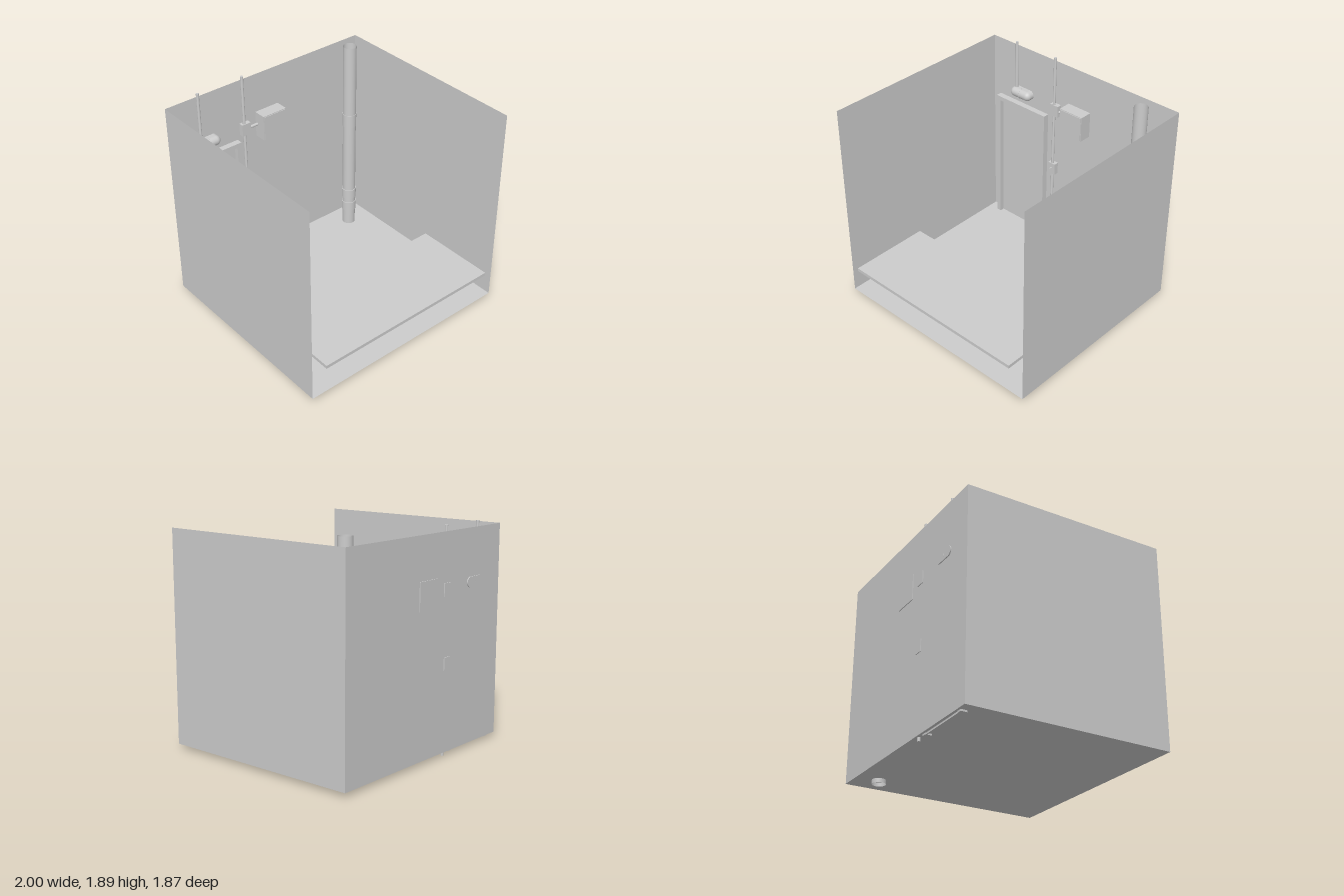
import * as THREE from 'three';

const grey = new THREE.MeshStandardMaterial({ color: 0xcccccc });
const thin = new THREE.MeshStandardMaterial({ color: 0xcccccc, side: THREE.DoubleSide });

export function createModel() {
  const root = new THREE.Group();
  root.name = 'serviceRoom';

  const add = (name, geometry, material = grey, parent = root) => {
    const mesh = new THREE.Mesh(geometry, material);
    mesh.name = name;
    parent.add(mesh);
    return mesh;
  };
  // Box given by its lower and upper bounds
  const box = (name, x0, x1, y0, y1, z0, z1, parent) => {
    const g = new THREE.BoxGeometry(x1 - x0, y1 - y0, z1 - z0);
    g.translate((x0 + x1) / 2, (y0 + y1) / 2, (z0 + z1) / 2);
    return add(name, g, grey, parent);
  };
  // Upright round bar or open tube
  const pipe = (name, x, z, y0, y1, r, open = false) => {
    const g = new THREE.CylinderGeometry(r, r, y1 - y0, open ? 32 : 16, 1, open);
    g.translate(x, (y0 + y1) / 2, z);
    return add(name, g, open ? thin : grey);
  };

  // Room shell: floor and three thin walls, open at the front and top
  const W = 2, H = 1.815, base = 0.035, back = -0.925, front = 0.895;
  const D = front - back, midZ = (front + back) / 2, midY = base + H / 2;
  add('floor', new THREE.PlaneGeometry(W, D).rotateX(-Math.PI / 2).translate(0, base, midZ), thin);
  add('backWall', new THREE.PlaneGeometry(W, H).translate(0, midY, back), thin);
  for (const s of [1, -1]) {
    add(s > 0 ? 'leftWall' : 'rightWall',
      new THREE.PlaneGeometry(D, H).rotateY(-s * Math.PI / 2).translate(s, midY, midZ), thin);
  }

  // Wide shelf across the front
  box('shelf', -0.885, 0.885, 0.315, 0.345, 0.195, 0.93);

  // Door frame, open at the bottom, with a recessed leaf
  const frame = new THREE.Shape();
  [[-0.907, 0.02], [-0.865, 0.02], [-0.865, 1.265], [-0.38, 1.265],
    [-0.38, 0.02], [-0.337, 0.02], [-0.337, 1.305], [-0.907, 1.305]]
    .forEach(([x, y], i) => (i ? frame.lineTo(x, y) : frame.moveTo(x, y)));
  add('doorFrame', new THREE.ExtrudeGeometry(frame, { depth: 0.055, bevelEnabled: false })
    .translate(0, 0, -0.905));
  box('door', -0.865, -0.38, 0.02, 1.265, -0.9, -0.89);

  // Large drain pipe with collars
  const px = 0.77, pz = -0.73;
  pipe('drainPipe', px, pz, 0, 1.895, 0.059, true);
  for (const [y0, y1, r] of [[0.185, 0.275, 0.066], [0.325, 0.415, 0.066], [1.1, 1.225, 0.062]]) {
    const collar = [[0.059, y0], [r, y0], [r, y0], [r, y1], [r, y1], [0.059, y1]]
      .map(([a, b]) => new THREE.Vector2(a, b));
    add('pipeCollar', new THREE.LatheGeometry(collar, 32).translate(px, 0, pz), thin);
  }

  // Conduits
  pipe('switchConduit', -0.265, -0.898, 0, 1.895, 0.013);
  pipe('lampConduit', -0.705, -0.898, 1.43, 1.895, 0.013);
  add('crossConduit', new THREE.CylinderGeometry(0.013, 0.013, 0.09, 16)
    .rotateZ(Math.PI / 2).translate(-0.167, 1.38, -0.903));

  // Junction box, switch and fuse box, passing slightly through the wall
  box('junctionBox', -0.297, -0.21, 1.33, 1.44, -0.932, -0.88);
  box('switchBox', -0.3, -0.225, 0.725, 0.835, -0.932, -0.88);
  const knob = add('switchToggle', new THREE.CylinderGeometry(0.007, 0.007, 0.03, 12));
  knob.rotation.x = Math.PI / 2;
  knob.position.set(-0.263, 0.787, -0.868);
  box('fuseBox', -0.125, 0.115, 1.255, 1.49, -0.932, -0.809);
  box('fuseBoxLid', -0.119, 0.109, 1.261, 1.484, -0.81, -0.803);

  // Bulkhead lamp: stadium-shaped base, rounded cover and guard ribs
  const lamp = new THREE.Group();
  lamp.name = 'wallLamp';
  lamp.position.set(-0.642, 1.405, -0.889);
  root.add(lamp);
  const R = 0.044, half = 0.068;
  const stadium = new THREE.Shape();
  stadium.absarc(half, 0, R, -Math.PI / 2, Math.PI / 2, false);
  stadium.absarc(-half, 0, R, Math.PI / 2, Math.PI * 1.5, false);
  add('lampBase', new THREE.ExtrudeGeometry(stadium,
    { depth: 0.044, bevelEnabled: false, curveSegments: 16 }).translate(0, 0, -0.044), grey, lamp);
  add('lampCover', new THREE.CapsuleGeometry(R, half * 2, 10, 24).rotateZ(Math.PI / 2), grey, lamp);
  add('lampRib', new THREE.TorusGeometry(R, 0.003, 8, 32).rotateY(Math.PI / 2), grey, lamp);

  return root;
}
